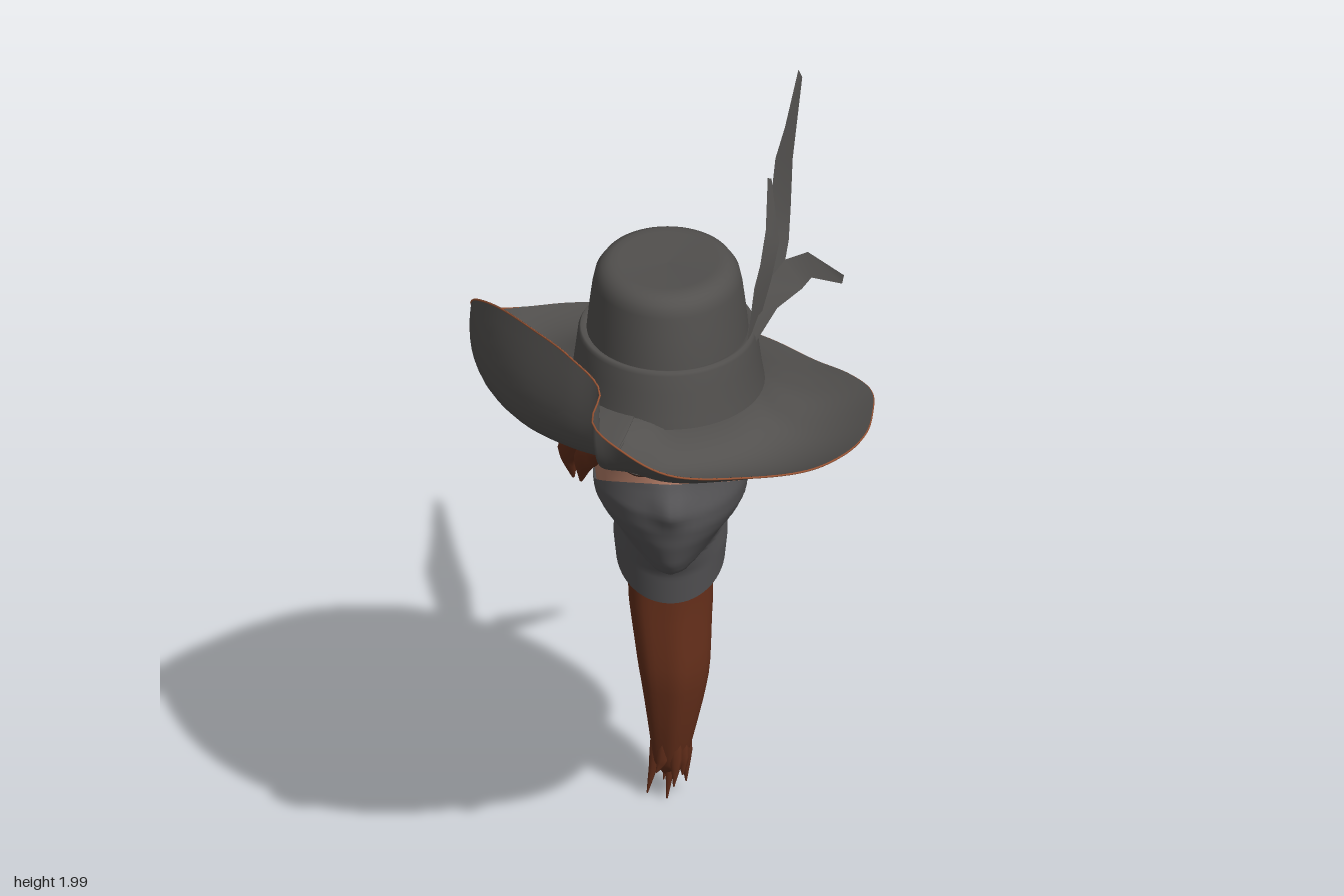
import * as THREE from 'three';

const mat = (name, color) => {
  const m = new THREE.MeshStandardMaterial({ color, side: THREE.DoubleSide });
  m.name = name;
  return m;
};
const M = {
  hat: mat('hat felt', 0x52504e),
  mask: mat('mask cloth', 0x555456),
  hair: mat('auburn hair', 0x632e1a),
  skin: mat('skin', 0xab7762),
  eye: mat('eye grey', 0x7a7572),
  dark: mat('lash dark', 0x33231d),
  trim: mat('brim trim', 0x9a5535),
};

const V = (x, y, z) => new THREE.Vector3(x, y, z);
const { lerp, clamp } = THREE.MathUtils;
const TAU = Math.PI * 2;

// Smooth surface from fn(u, v); closed joins the u ends
function grid(fn, nu, nv, closed = true) {
  const pos = [], idx = [], cols = closed ? nu : nu + 1;
  for (let j = 0; j <= nv; j++)
    for (let i = 0; i < cols; i++) pos.push(...fn(i / nu, j / nv).toArray());
  for (let j = 0; j < nv; j++)
    for (let i = 0; i < nu; i++) {
      const i2 = (i + 1) % cols;
      const a = j * cols + i, b = j * cols + i2, c = b + cols, d = a + cols;
      idx.push(a, b, d, b, c, d);
    }
  const g = new THREE.BufferGeometry();
  g.setAttribute('position', new THREE.Float32BufferAttribute(pos, 3));
  g.setIndex(idx);
  g.computeVertexNormals();
  return g;
}

// Interpolate rows keyed by their first column
function sample(rows, y) {
  let i = 0;
  while (i < rows.length - 2 && y > rows[i + 1][0]) i++;
  const a = rows[i], b = rows[i + 1];
  const t = clamp((y - a[0]) / (b[0] - a[0]), 0, 1);
  return a.map((n, k) => lerp(n, b[k], t));
}

// Strand swept along points [x, y, z, half width, half depth]
function strand(pts, nu, nv, groove = 0) {
  const curve = new THREE.CatmullRomCurve3(pts.map(p => V(p[0], p[1], p[2])));
  const rows = pts.map((p, i) => [i / (pts.length - 1), p[3], p[4]]);
  return grid((u, v) => {
    const c = curve.getPoint(v), t = curve.getTangent(v);
    const n = V(1, 0, 0).cross(t).normalize(), side = t.clone().cross(n);
    const [, rx, rz] = sample(rows, v);
    const a = -u * TAU, k = 1 + groove * Math.cos(a * 6 + v * 3);
    return c.addScaledVector(side, Math.cos(a) * rx * k).addScaledVector(n, Math.sin(a) * rz * k);
  }, nu, nv);
}

// Head and neck: height, front z, back z, half width, narrowing toward the chin
const HEAD = [
  [0.90, 0.18, -0.13, 0.14, 0], [1.0, 0.20, -0.13, 0.15, 0], [1.065, 0.235, -0.125, 0.148, 0.1],
  [1.09, 0.37, -0.11, 0.148, 0.4], [1.13, 0.40, -0.10, 0.155, 0.33], [1.2, 0.425, -0.10, 0.185, 0.18],
  [1.25, 0.435, -0.11, 0.2, 0.1], [1.3, 0.435, -0.14, 0.207, 0.03], [1.36, 0.415, -0.19, 0.205, 0],
  [1.42, 0.405, -0.21, 0.205, 0], [1.5, 0.385, -0.21, 0.2, 0], [1.6, 0.33, -0.17, 0.17, 0],
];
function headPoint(a, y, off = 0) {
  const s = Math.sin(a), c = Math.cos(a);
  const jaw = 0.05 * s * s * clamp((1.25 - y) / 0.12, 0, 1);
  const [, f, b, w, chin] = sample(HEAD, y - jaw);
  const x = s * (w + off) * (1 - chin * Math.max(0, c));
  let z = (f + b) / 2 + c * ((f - b) / 2 + off);
  if (c > 0) z += 0.035 * Math.exp(-((x / 0.04) ** 2) - ((y - 1.32) / 0.05) ** 2);
  return V(x, y, z);
}
const neckBottom = a => 0.91 + 0.484 * 0.155 * (1 - Math.cos(a));
const maskTop = a => 1.28 + 0.105 * Math.max(0, Math.cos(a)) ** 1.2;

// Brim edge: x, z, height, reach of the bend, height of the bend
const BRIM = [
  [-0.205, 0.755, 1.75, 0.95, 1.47], [-0.12, 0.74, 1.65, 0.6, 1.43], [0, 0.715, 1.57, 0.3, 1.38],
  [0.2, 0.65, 1.53, 0.2, 1.37], [0.36, 0.58, 1.515, 0.2, 1.37], [0.455, 0.48, 1.51, 0.25, 1.38],
  [0.51, 0.35, 1.5, 0.3, 1.39], [0.53, 0.18, 1.48, 0.3, 1.39], [0.525, 0, 1.45, 0.3, 1.4],
  [0.465, -0.15, 1.42, 0.35, 1.4], [0.38, -0.28, 1.39, 0.4, 1.41], [0.25, -0.43, 1.38, 0.4, 1.42],
  [0.09, -0.53, 1.385, 0.4, 1.43], [-0.08, -0.56, 1.41, 0.4, 1.43], [-0.25, -0.53, 1.43, 0.45, 1.41],
  [-0.38, -0.42, 1.475, 0.6, 1.41], [-0.465, -0.27, 1.55, 0.8, 1.41], [-0.52, -0.1, 1.65, 1, 1.42],
  [-0.512, 0.06, 1.75, 1.3, 1.45], [-0.45, 0.26, 1.83, 1.65, 1.47], [-0.365, 0.45, 1.868, 1.7, 1.48],
  [-0.265, 0.61, 1.868, 1.45, 1.49], [-0.185, 0.715, 1.82, 1.15, 1.49],
];
function innerRim(x, z) {
  const a = Math.atan2((x + 0.01) / 0.235, (z - 0.088) / 0.315);
  const dz = 0.315 * Math.cos(a);
  return V(-0.01 + 0.235 * Math.sin(a), 1.555 + 0.08 * dz, 0.088 + dz);
}

// Hat rings: height, half width, half depth, centre z
const BAND = [[1.53, 0.256, 0.334, 0.088], [1.575, 0.248, 0.326, 0.088], [1.675, 0.235, 0.312, 0.085],
  [1.688, 0.228, 0.304, 0.085], [1.68, 0.205, 0.28, 0.085]];
const CROWN = [[1.66, 0.215, 0.292, 0.085], [1.73, 0.208, 0.286, 0.087], [1.81, 0.198, 0.272, 0.092],
  [1.85, 0.19, 0.26, 0.098], [1.875, 0.173, 0.238, 0.1], [1.886, 0.148, 0.206, 0.1],
  [1.884, 0.11, 0.155, 0.1], [1.878, 0, 0, 0.1]];
const rings = R => grid((u, v) => {
  const k = R.map((r, i) => [i / (R.length - 1), ...r]);
  const [, y, rx, rz, cz] = sample(k, v), a = u * TAU, dz = Math.cos(a) * rz;
  return V(-0.008 + Math.sin(a) * rx, y + 0.06 * dz, cz + dz);
}, 56, R.length * 2 - 2);

// Feathers: pairs of upper and lower edge points
const FEATHERS = {
  longFeather: [[0.2, 1.68, 0.2, 0.205, 1.66, 0.2], [0.22, 1.75, 0, 0.25, 1.68, 0], [0.245, 1.77, -0.17, 0.295, 1.69, -0.2],
    [0.26, 1.84, -0.27, 0.31, 1.74, -0.29], [0.275, 1.925, -0.4, 0.315, 1.77, -0.42],
    [0.3, 1.95, -0.53, 0.32, 1.845, -0.55], [0.335, 2, -0.76, 0.345, 1.98, -0.755]],
  uprightFeather: [[0.2, 1.68, 0.2, 0.205, 1.66, 0.18], [0.215, 1.76, 0.11, 0.235, 1.69, 0.06],
    [0.235, 1.83, 0.03, 0.265, 1.767, -0.02], [0.25, 1.9, -0.04, 0.285, 1.847, -0.07], [0.255, 2, -0.145, 0.265, 1.99, -0.16]],
  droopingFeather: [[0.2, 1.68, 0.2, 0.205, 1.66, 0.2], [0.235, 1.74, 0, 0.28, 1.68, -0.02],
    [0.3, 1.745, -0.17, 0.345, 1.68, -0.13], [0.36, 1.7, -0.3, 0.37, 1.645, -0.26], [0.455, 1.555, -0.445, 0.45, 1.53, -0.445]],
};

export function createModel() {
  const model = new THREE.Group();
  const add = (name, geo, m, parent) => {
    const mesh = new THREE.Mesh(geo, m);
    mesh.name = name;
    parent.add(mesh);
    return mesh;
  };
  const group = name => {
    const g = new THREE.Group();
    g.name = name;
    model.add(g);
    return g;
  };

  // Face, mask and neck
  const head = group('head');
  add('face', grid((u, v) => headPoint(u * TAU, lerp(1.25, 1.58, v), -0.008), 48, 20), M.skin, head);
  add('mask', grid((u, v) => {
    const a = u * TAU;
    return headPoint(a, lerp(neckBottom(a), maskTop(a), v));
  }, 56, 40), M.mask, head);
  add('neckCap', grid((u, v) => {
    const a = u * TAU;
    return V(0, 0.985, 0.025).lerp(headPoint(a, neckBottom(a)), 1 - v);
  }, 40, 1), M.hair, head);
  const down = V(0, -1, -0.484).normalize();
  const spot = add('neckSpot', new THREE.CircleGeometry(0.022, 12), M.eye, head);
  spot.position.set(0, 0.985, 0.025).addScaledVector(down, 0.005);
  spot.quaternion.setFromUnitVectors(V(0, 0, 1), down);

  // Eyes, brows and ears, mirrored
  for (const s of [-1, 1]) {
    const patch = (w, h, y0, off) => grid((u, v) => {
      const a = u * TAU;
      return headPoint(s * 0.5 + Math.cos(a) * w * v, y0 + Math.sin(a) * h * v, off);
    }, 20, 3);
    add('lashes', patch(0.26, 0.026, 1.413, -0.004), M.dark, head);
    add('eye', patch(0.2, 0.016, 1.409, -0.001), M.eye, head);
    add('brow', patch(0.28, 0.009, 1.458, -0.002), M.hair, head);
    const ear = add('ear', new THREE.SphereGeometry(1, 16, 12), M.skin, head);
    ear.scale.set(0.022, 0.058, 0.038);
    ear.position.set(s * 0.207, 1.345, 0.085);
    ear.rotation.set(-0.2, s * -0.3, 0);
  }

  // Hair on the back of the head, and loose locks
  const hair = group('hair');
  add('hairCap', grid((u, v) => headPoint(lerp(1.83, TAU - 1.83, u), lerp(1.275, 1.54, v), 0.014), 32, 10, false), M.hair, hair);
  const locks = [
    [[-0.06, 1.53, 0.36, 0.04, 0.02], [-0.16, 1.47, 0.33, 0.045, 0.03], [-0.22, 1.39, 0.27, 0.035, 0.035], [-0.235, 1.3, 0.23, 0.004, 0.004]],
    [[-0.13, 1.52, 0.31, 0.04, 0.02], [-0.22, 1.46, 0.26, 0.045, 0.04], [-0.265, 1.38, 0.2, 0.032, 0.04], [-0.255, 1.28, 0.17, 0.004, 0.004]],
    [[-0.19, 1.5, 0.2, 0.025, 0.04], [-0.24, 1.44, 0.16, 0.04, 0.05], [-0.265, 1.37, 0.13, 0.025, 0.035], [-0.275, 1.31, 0.12, 0.003, 0.003]],
    [[0.1, 1.5, 0.36, 0.03, 0.02], [0.18, 1.465, 0.28, 0.022, 0.025], [0.206, 1.44, 0.17, 0.014, 0.025], [0.215, 1.4, 0.06, 0.01, 0.02]],
  ];
  locks.forEach(p => add('hairLock', strand(p, 10, 12), M.hair, hair));

  // Ponytail with its tie and ragged ends
  add('ponytail', strand([
    [0, 1.375, -0.18, 0.045, 0.045], [0, 1.385, -0.26, 0.06, 0.055], [0, 1.33, -0.35, 0.075, 0.08],
    [0, 1.2, -0.415, 0.09, 0.1], [0, 1, -0.45, 0.108, 0.1], [0, 0.8, -0.455, 0.112, 0.085],
    [0, 0.6, -0.452, 0.11, 0.083], [0.008, 0.4, -0.44, 0.094, 0.088], [0.003, 0.24, -0.442, 0.066, 0.066],
    [-0.005, 0.12, -0.447, 0.042, 0.04], [-0.01, 0.08, -0.45, 0.012, 0.012],
  ], 36, 48, 0.035), M.hair, hair);
  const tie = add('hairTie', new THREE.TorusGeometry(0.048, 0.018, 10, 24), M.mask, hair);
  tie.position.set(0, 1.385, -0.225);
  for (let i = 0; i < 9; i++) {
    const a = i * 2.4, r = i ? 0.04 : 0.01;
    const x = Math.sin(a) * r, z = -0.447 + Math.cos(a) * r, end = 0.01 + (i * 5 % 9) * 0.013;
    add('hairTip', strand([[x * 0.8, 0.25, z, 0.022, 0.022], [x, 0.14, z, 0.018, 0.018],
      [x * 1.3 - 0.01, end, -0.45 + (z + 0.45) * 1.2, 0.002, 0.002]], 7, 6), M.hair, hair);
  }

  // Hat: brim swept from crown to edge, turned up and curled on the right
  const hat = group('hat');
  const edge = new THREE.CatmullRomCurve3(BRIM.map(([x, z, y]) => V(x, y, z)), true);
  const bend = new THREE.CatmullRomCurve3(BRIM.map(([x, z, , k, cy]) => {
    const p = innerRim(x, z);
    return V(lerp(p.x, x, k), cy, lerp(p.z, z, k));
  }), true);
  const brim = drop => grid((u, v) => {
    const e = edge.getPoint(u), b = bend.getPoint(u), t = 1 - v;
    const p = new THREE.QuadraticBezierCurve3(innerRim(e.x, e.z), b, e).getPoint(t);
    p.y -= drop * (1 - t * t);
    return p;
  }, 115, 18);
  add('brimTop', brim(0), M.hat, hat);
  add('brimUnderside', brim(0.012), M.hat, hat);
  const trim = add('brimTrim', new THREE.TubeGeometry(edge, 160, 0.0028, 6, true), M.trim, hat);
  trim.position.y = -0.003;
  add('hatBand', rings(BAND), M.hat, hat);
  add('crown', rings(CROWN), M.hat, hat);

  // Feathers on the left of the band
  for (const [name, rows] of Object.entries(FEATHERS)) {
    const n = rows.length - 1;
    add(name, grid((u, v) => {
      const r = rows[Math.round(u * n)];
      return V(r[0], r[1], r[2]).lerp(V(r[3], r[4], r[5]), 1 - v);
    }, n, 1, false), M.hat, hat);
  }
  return model;
}
